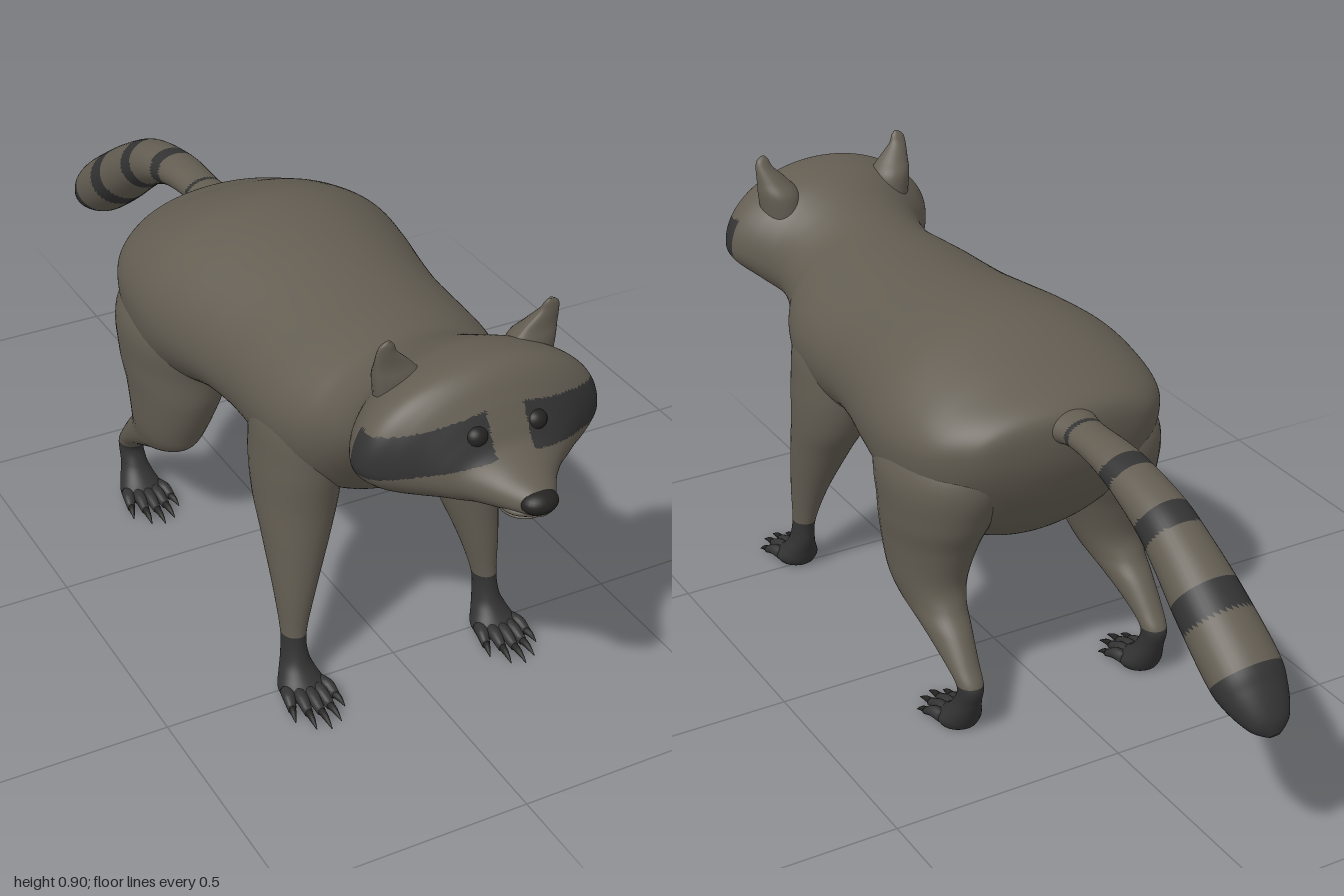
import * as THREE from 'three';

const coat = new THREE.MeshStandardMaterial({ color: 0x635d52 });
coat.name = 'greyBrownFur';
const dark = new THREE.MeshStandardMaterial({ color: 0x333333 });
dark.name = 'charcoalFur';
const black = new THREE.MeshStandardMaterial({ color: 0x242322 });
black.name = 'blackClaw';

// Smooth skin through oval rings [x, y, z, halfWidth, reachUp, reachDown, tilt].
// Tilt 0 runs the skin along +z, tilt PI/2 runs it downwards.
function loft(sections, steps, sides) {
  const rings = [];
  const n = sections.length;
  const at = (i) => sections[Math.min(Math.max(i, 0), n - 1)];
  for (let i = 0; i < n - 1; i++) {
    for (let s = 0; s < steps; s++) {
      const t = s / steps;
      rings.push(at(i).map((p1, k) => {
        const p0 = at(i - 1)[k], p2 = at(i + 1)[k], p3 = at(i + 2)[k];
        return p1 + 0.5 * t * (p2 - p0 + t * (2 * p0 - 5 * p1 + 4 * p2 - p3 + t * (3 * (p1 - p2) + p3 - p0)));
      }));
    }
  }
  rings.push(sections[n - 1]);
  const pos = [], index = [];
  for (const [x, y, z, w, up, down, tilt] of rings) {
    for (let j = 0; j < sides; j++) {
      const a = (j / sides) * Math.PI * 2;
      const v = Math.sin(a) * (Math.sin(a) > 0 ? up : down);
      pos.push(x + w * Math.cos(a), y + v * Math.cos(tilt), z + v * Math.sin(tilt));
    }
  }
  const last = rings.length - 1;
  for (let i = 0; i < last; i++) {
    for (let j = 0; j < sides; j++) {
      const a = i * sides + j, b = i * sides + ((j + 1) % sides);
      index.push(a, b, a + sides, b, b + sides, a + sides);
    }
  }
  // End caps
  const first = pos.length / 3;
  pos.push(...rings[0].slice(0, 3), ...rings[last].slice(0, 3));
  for (let j = 0; j < sides; j++) {
    const k = (j + 1) % sides;
    index.push(first, k, j, first + 1, last * sides + j, last * sides + k);
  }
  const geo = new THREE.BufferGeometry();
  geo.setAttribute('position', new THREE.Float32BufferAttribute(pos, 3));
  geo.setIndex(index);
  geo.computeVertexNormals();
  return geo;
}

// Split the faces into two colour groups by a rule on the face centre
function paint(geo, isDark) {
  const src = geo.index.array, p = geo.attributes.position;
  const light = [], shade = [];
  for (let i = 0; i < src.length; i += 3) {
    const f = [src[i], src[i + 1], src[i + 2]];
    const mean = (get) => (get(f[0]) + get(f[1]) + get(f[2])) / 3;
    const hit = isDark(mean((k) => p.getX(k)), mean((k) => p.getY(k)), mean((k) => p.getZ(k)));
    (hit ? shade : light).push(...f);
  }
  geo.setIndex([...light, ...shade]);
  geo.addGroup(0, light.length, 0);
  geo.addGroup(light.length, shade.length, 1);
  return geo;
}

function add(parent, name, geo, material) {
  const mesh = new THREE.Mesh(geo, material);
  mesh.name = name;
  parent.add(mesh);
  return mesh;
}

function ball(parent, name, material, [x, y, z], [rx, ry, rz]) {
  const mesh = add(parent, name, new THREE.SphereGeometry(1, 24, 16), material);
  mesh.position.set(x, y, z);
  mesh.scale.set(rx, ry, rz);
}

// Trunk, neck and head: z, top, widest height, bottom, half width
const trunk = [
  [-0.318, 0.665, 0.645, 0.62, 0.03], [-0.31, 0.685, 0.64, 0.575, 0.10],
  [-0.295, 0.70, 0.63, 0.53, 0.17], [-0.27, 0.715, 0.62, 0.475, 0.215],
  [-0.22, 0.735, 0.61, 0.40, 0.262], [-0.15, 0.765, 0.60, 0.35, 0.29],
  [-0.05, 0.795, 0.595, 0.345, 0.30], [0.05, 0.80, 0.59, 0.40, 0.288],
  [0.15, 0.793, 0.59, 0.43, 0.268], [0.25, 0.783, 0.59, 0.425, 0.253],
  [0.35, 0.775, 0.59, 0.405, 0.25], [0.43, 0.773, 0.59, 0.395, 0.245],
  [0.50, 0.774, 0.60, 0.42, 0.225], [0.55, 0.78, 0.62, 0.465, 0.198],
  [0.60, 0.80, 0.645, 0.51, 0.183], [0.65, 0.825, 0.67, 0.545, 0.188],
  [0.70, 0.846, 0.69, 0.572, 0.222], [0.75, 0.856, 0.695, 0.595, 0.245],
  [0.79, 0.857, 0.697, 0.605, 0.238], [0.82, 0.84, 0.695, 0.612, 0.205],
  [0.845, 0.805, 0.69, 0.617, 0.165], [0.865, 0.768, 0.685, 0.62, 0.135],
  [0.885, 0.735, 0.68, 0.624, 0.105], [0.92, 0.715, 0.672, 0.63, 0.07],
  [0.96, 0.70, 0.668, 0.642, 0.043], [0.99, 0.685, 0.668, 0.652, 0.02],
].map(([z, top, mid, low, w]) => [0, mid, z, w, top - mid, mid - low, 0]);

// Eye mask: a band sloping down and back from the nose bridge
function inMask(x, y, z) {
  const u = Math.abs(x);
  if (u < 0.038 || z < 0.745) return false;
  const upper = 0.795 - 0.19 * (u - 0.04), lower = 0.722 - 0.22 * (u - 0.04);
  return y < upper && y > lower;
}

// Limbs from top to sole: x, y, z, half width, half depth
const frontLimb = [
  [0.13, 0.70, 0.40, 0.05, 0.07], [0.15, 0.60, 0.40, 0.092, 0.12], [0.17, 0.50, 0.40, 0.086, 0.118],
  [0.178, 0.41, 0.41, 0.08, 0.10], [0.19, 0.33, 0.435, 0.065, 0.075], [0.207, 0.22, 0.465, 0.041, 0.047],
  [0.217, 0.13, 0.481, 0.025, 0.03], [0.219, 0.08, 0.49, 0.027, 0.032], [0.22, 0.05, 0.505, 0.037, 0.038],
  [0.22, 0.025, 0.525, 0.048, 0.05], [0.22, 0.01, 0.525, 0.04, 0.042],
];
const hindLimb = [
  [0.15, 0.66, -0.10, 0.09, 0.12], [0.17, 0.55, -0.10, 0.131, 0.17], [0.19, 0.45, -0.10, 0.112, 0.15],
  [0.20, 0.38, -0.09, 0.094, 0.13], [0.21, 0.30, -0.095, 0.076, 0.105], [0.214, 0.25, -0.12, 0.06, 0.098],
  [0.217, 0.21, -0.18, 0.047, 0.074], [0.22, 0.16, -0.25, 0.034, 0.042], [0.22, 0.12, -0.288, 0.027, 0.03],
  [0.22, 0.08, -0.278, 0.028, 0.03], [0.22, 0.05, -0.26, 0.037, 0.037], [0.22, 0.025, -0.238, 0.047, 0.048],
  [0.22, 0.01, -0.238, 0.04, 0.04],
];

function addLeg(parent, name, limb, side, cuff) {
  const leg = new THREE.Group();
  leg.name = name;
  parent.add(leg);
  const rings = limb.map(([x, y, z, w, d]) => [x * side, y, z, w, d, d, Math.PI / 2]);
  add(leg, 'limb', paint(loft(rings, 8, 40), (x, y) => y < cuff), [coat, dark]);
  // Five fanned toes, each ending in a claw
  const [x0, , z0] = rings[rings.length - 1];
  for (let i = -2; i <= 2; i++) {
    const x = x0 + i * 0.018, reach = 0.125 - 0.012 * i * i;
    const ring = (t, y, r) => [x + i * 0.009 * t, y, z0 + reach * t, r, r, r, 0];
    add(leg, 'toe', loft([ring(0, 0.026, 0.013), ring(0.35, 0.028, 0.013), ring(0.65, 0.018, 0.009)], 4, 12), dark);
    add(leg, 'claw', loft([ring(0.6, 0.019, 0.008), ring(0.8, 0.017, 0.006), ring(1, 0.008, 0.001)], 4, 10), black);
  }
}

// Tail from tip to root: y, z, half width, half thickness, tilt
const tail = [
  [0.346, -0.998, 0.012, 0.008, -0.68], [0.362, -0.98, 0.042, 0.03, -0.68], [0.395, -0.935, 0.066, 0.053, -0.68],
  [0.43, -0.89, 0.074, 0.064, -0.66], [0.507, -0.78, 0.07, 0.063, -0.58], [0.568, -0.69, 0.062, 0.057, -0.5],
  [0.612, -0.61, 0.056, 0.05, -0.38], [0.65, -0.48, 0.049, 0.036, -0.12], [0.658, -0.36, 0.043, 0.03, 0],
  [0.655, -0.30, 0.055, 0.036, 0], [0.65, -0.24, 0.07, 0.04, 0],
].map(([y, z, w, h, tilt]) => [0, y, z, w, h, h, tilt]);
const bands = [[-1.1, -0.905], [-0.815, -0.765], [-0.665, -0.62], [-0.52, -0.48], [-0.358, -0.346]];

// Bands lie square to the tail, so shift z by the height off its centre line
function inBand(x, y, z) {
  let best = 1, at = z;
  for (let i = 0; i < tail.length - 1; i++) {
    for (let t = 0; t < 1; t += 0.05) {
      const cy = THREE.MathUtils.lerp(tail[i][1], tail[i + 1][1], t);
      const cz = THREE.MathUtils.lerp(tail[i][2], tail[i + 1][2], t);
      const d = Math.hypot(y - cy, z - cz);
      if (d < best) { best = d; at = cz; }
    }
  }
  return bands.some(([a, b]) => at > a && at < b);
}

export function createModel() {
  const model = new THREE.Group();
  model.name = 'raccoon';

  add(model, 'bodyAndHead', paint(loft(trunk, 9, 144), inMask), [coat, dark]);
  add(model, 'ringedTail', paint(loft(tail, 14, 36), inBand), [coat, dark]);

  // Muzzle
  ball(model, 'nose', black, [0, 0.672, 0.972], [0.036, 0.022, 0.028]);
  ball(model, 'upperLip', coat, [0, 0.65, 0.935], [0.05, 0.015, 0.042]);
  ball(model, 'lowerJaw', coat, [0, 0.634, 0.92], [0.042, 0.01, 0.045]);

  for (const side of [1, -1]) {
    const word = side > 0 ? 'left' : 'right';
    ball(model, word + 'Eye', black, [side * 0.06, 0.755, 0.856], [0.022, 0.02, 0.02]);

    // Ear: flat in front, sloping behind
    const ear = [
      [0.165, 0.906, 0.73, 0.004, 0.002, 0.004], [0.167, 0.897, 0.728, 0.014, 0.006, 0.009],
      [0.165, 0.88, 0.725, 0.02, 0.009, 0.016], [0.15, 0.85, 0.722, 0.035, 0.012, 0.035],
      [0.138, 0.82, 0.72, 0.046, 0.02, 0.055], [0.13, 0.77, 0.72, 0.048, 0.02, 0.06],
    ].map(([x, ...rest]) => [x * side, ...rest, Math.PI / 2]);
    add(model, word + 'Ear', loft(ear, 6, 28), coat);

    addLeg(model, word + 'FrontLeg', frontLimb, side, 0.13);
    addLeg(model, word + 'HindLeg', hindLimb, side, 0.125);
  }
  return model;
}
